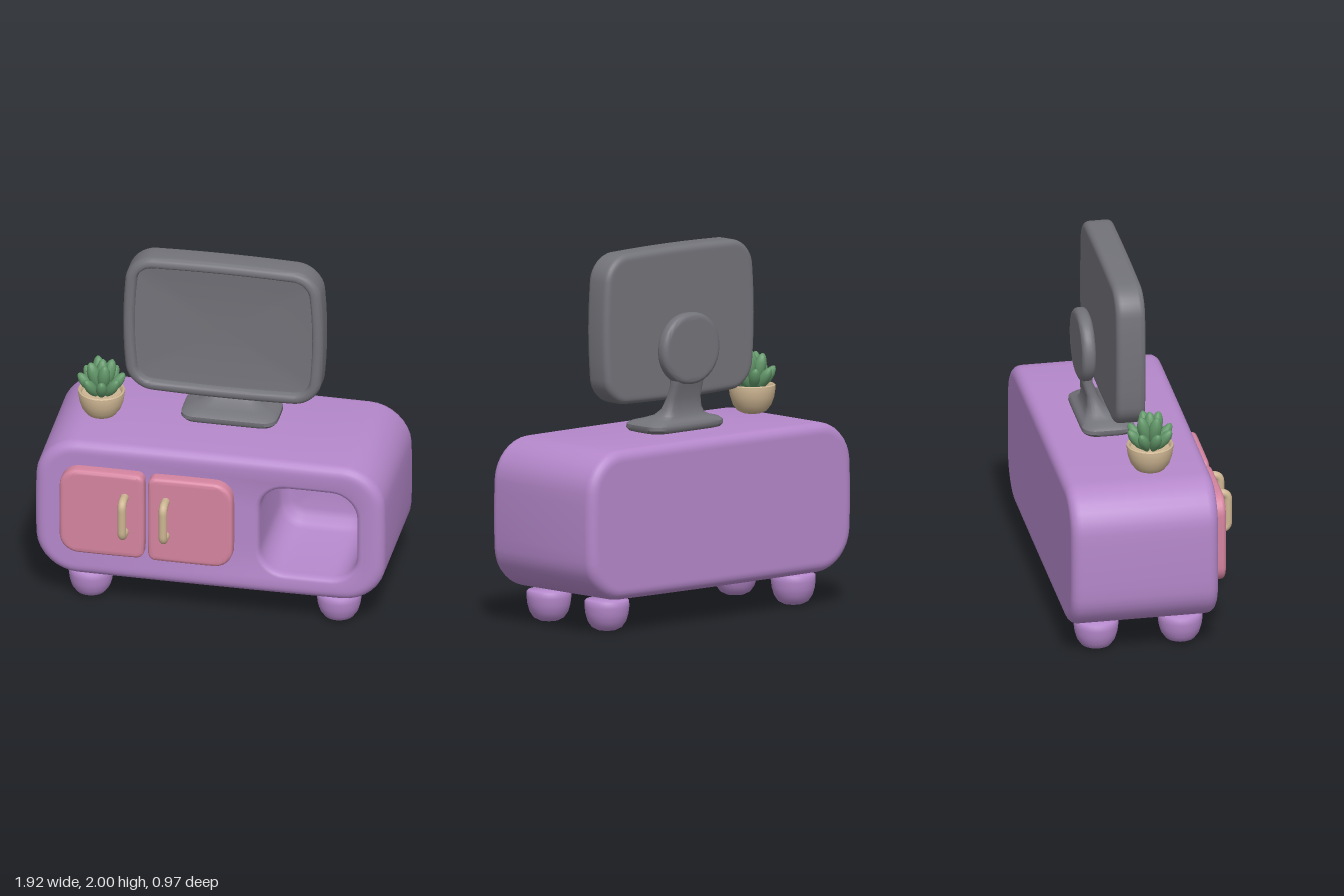
import * as THREE from 'three';
import { toCreasedNormals } from 'three/addons/utils/BufferGeometryUtils.js';

const mat = (name, color) => {
  const m = new THREE.MeshStandardMaterial({ color });
  m.name = name;
  return m;
};

// Rounded rectangle outline in XY: rr / rl are the corner radii on +x / -x, b bows the sides outward
function ring(cx, cy, hw, hh, rr, rl, b, z) {
  const corners = [[1, 1, rr], [-1, 1, rl], [-1, -1, rl], [1, -1, rr]];
  const arcs = corners.map(([sx, sy, r], c) => {
    r = Math.max(r, 0.004);
    return Array.from({ length: 9 }, (_, k) => {
      const a = (c + k / 8) * Math.PI / 2;
      return [sx * (hw - r) + r * Math.cos(a), sy * (hh - r) + r * Math.sin(a)];
    });
  });
  const pts = [];
  arcs.forEach((arc, c) => {
    pts.push(...arc);
    const p = arc[8], q = arcs[(c + 1) % 4][0];
    for (let k = 1; k < 6; k++) pts.push([p[0] + (q[0] - p[0]) * k / 6, p[1] + (q[1] - p[1]) * k / 6]);
  });
  return pts.map(([x, y]) => new THREE.Vector3(
    cx + x * (1 - b * (y / hh) ** 2), cy + y * (1 - 0.6 * b * (x / hw) ** 2), z));
}

// Skin a list of outlines, closing both ends
function loft(rings) {
  const n = rings[0].length, pos = [], idx = [];
  rings.forEach(r => r.forEach(p => pos.push(p.x, p.y, p.z)));
  for (let j = 0; j < rings.length - 1; j++) {
    for (let i = 0; i < n; i++) {
      const a = j * n + i, b = j * n + (i + 1) % n;
      idx.push(a, b, b + n, a, b + n, a + n);
    }
  }
  const cap = (j, flip) => {
    const c = rings[j].reduce((s, p) => s.add(p), new THREE.Vector3()).divideScalar(n);
    const ci = pos.length / 3;
    pos.push(c.x, c.y, c.z);
    for (let i = 0; i < n; i++) {
      const a = j * n + i, b = j * n + (i + 1) % n;
      if (flip) idx.push(ci, b, a); else idx.push(ci, a, b);
    }
  };
  cap(0, true);
  cap(rings.length - 1, false);
  const g = new THREE.BufferGeometry();
  g.setAttribute('position', new THREE.Float32BufferAttribute(pos, 3));
  g.setIndex(idx);
  return toCreasedNormals(g, 0.7);
}

// Outlines of a slab with rounded front and back edges
function slab({ cx, cy, hw, hh, rr, rl = rr, b = 0, z0, z1, bev }) {
  const at = (inset, z) => ring(cx, cy, hw - inset, hh - inset, rr - inset, rl - inset, b, z);
  const out = [at(bev + 0.012, z0)];
  for (let k = 0; k <= 5; k++) {
    const a = k * Math.PI / 10;
    out.push(at(bev * (1 - Math.sin(a)), z0 + bev * (1 - Math.cos(a))));
  }
  for (let k = 5; k >= 0; k--) {
    const a = k * Math.PI / 10;
    out.push(at(bev * (1 - Math.sin(a)), z1 - bev * (1 - Math.cos(a))));
  }
  out.push(at(bev + 0.012, z1));
  return out;
}

const lathe = (pts, seg = 32) =>
  toCreasedNormals(new THREE.LatheGeometry(pts.map(p => new THREE.Vector2(...p)), seg), 0.8);

export function createModel() {
  const model = new THREE.Group();
  model.name = 'tvCabinet';
  const purple = mat('purple', 0xb588cb);
  const pink = mat('pink', 0xd4849f);
  const grey = mat('grey', 0x73737a);
  const green = mat('leaf green', 0x629769);
  const beige = mat('beige', 0xcdb592);
  const add = (name, geo, material, parent = model) => {
    const m = new THREE.Mesh(geo, material);
    m.name = name;
    parent.add(m);
    return m;
  };

  // Cabinet body: the skin turns in at the front and lines the open niche
  const niche = (inset, z) => ring(0.54, 0.575, 0.27 - inset, 0.265 - inset, 0.14 - inset, 0.14 - inset, 0.02, z);
  add('cabinetBody', loft([
    ...slab({ cx: 0, cy: 0.59, hw: 0.96, hh: 0.41, rr: 0.22, b: 0.02, z0: -0.48, z1: 0.325, bev: 0.055 }),
    niche(-0.025, 0.325), niche(-0.01, 0.32), niche(0, 0.305), niche(0.002, 0.28),
    niche(0.01, -0.17), niche(0.025, -0.21), niche(0.06, -0.24), niche(0.1, -0.25),
  ]), purple);

  // Feet
  const footGeo = lathe([[0, 0], [0.05, 0.002], [0.082, 0.018], [0.104, 0.05], [0.116, 0.09],
    [0.121, 0.13], [0.12, 0.16], [0.112, 0.168], [0, 0.17]]);
  for (const x of [-0.68, 0.68]) {
    for (const z of [0.16, -0.3]) add('foot', footGeo, purple).position.set(x, 0, z);
  }

  // Doors, softer on their outer corners
  const door = { hw: 0.233, hh: 0.255, b: 0.015, z0: 0.29, z1: 0.39, bev: 0.022 };
  add('rightDoor', loft(slab({ ...door, cx: -0.578, cy: 0.612, rl: 0.1, rr: 0.04 })), pink);
  add('leftDoor', loft(slab({ ...door, cx: -0.094, cy: 0.608, rl: 0.04, rr: 0.1 })), pink);

  // Door handles
  const v = (y, z) => new THREE.Vector3(0, y, z);
  const path = new THREE.CurvePath();
  path.add(new THREE.LineCurve3(v(0.522, 0.375), v(0.522, 0.425)));
  path.add(new THREE.QuadraticBezierCurve3(v(0.522, 0.425), v(0.522, 0.465), v(0.562, 0.465)));
  path.add(new THREE.LineCurve3(v(0.562, 0.465), v(0.692, 0.465)));
  path.add(new THREE.QuadraticBezierCurve3(v(0.692, 0.465), v(0.732, 0.465), v(0.732, 0.425)));
  path.add(new THREE.LineCurve3(v(0.732, 0.425), v(0.732, 0.375)));
  const handleGeo = new THREE.TubeGeometry(path, 48, 0.023, 14);
  for (const x of [-0.45, -0.225]) add('doorHandle', handleGeo, beige).position.x = x;

  // Monitor with a recessed screen inside a rounded bezel
  const face = (inset, z) => ring(0.007, 1.585, 0.549 - inset, 0.415 - inset, 0.14 - inset, 0.14 - inset, 0.05, z);
  add('monitor', loft([
    ...slab({ cx: 0.007, cy: 1.585, hw: 0.549, hh: 0.415, rr: 0.14, b: 0.05, z0: -0.158, z1: 0.004, bev: 0.034 }),
    face(0.052, 0), face(0.058, -0.008), face(0.062, -0.035), face(0.075, -0.037),
  ]), grey);

  // Stand: foot plate flowing into the neck, sections are [y, half width, half depth, z]
  const sections = [[1.008, 0.235, 0.115, -0.135], [1.014, 0.254, 0.134, -0.135], [1.03, 0.265, 0.145, -0.135],
    [1.05, 0.264, 0.144, -0.135], [1.066, 0.245, 0.125, -0.14], [1.076, 0.2, 0.1, -0.15],
    [1.095, 0.155, 0.07, -0.17], [1.13, 0.128, 0.045, -0.188], [1.19, 0.112, 0.03, -0.205],
    [1.26, 0.108, 0.03, -0.228], [1.32, 0.112, 0.034, -0.238], [1.36, 0.112, 0.03, -0.238]];
  const stand = add('monitorStand', loft(sections.map(([y, hw, hd, z]) => {
    const r = Math.min(hd * 0.85, 0.07);
    return ring(0.033, -z, hw, hd, r, r, 0.02, y);
  })), grey);
  stand.rotation.x = -Math.PI / 2;
  add('standMount', loft(slab({ cx: 0.025, cy: 1.455, hw: 0.207, hh: 0.195, rr: 0.193,
    z0: -0.276, z1: -0.2, bev: 0.03 })), grey);

  // Potted succulent
  const plant = new THREE.Group();
  plant.name = 'pottedPlant';
  plant.position.set(-0.656, 1, 0);
  model.add(plant);
  add('pot', lathe([[0, 0.006], [0.05, 0.008], [0.08, 0.022], [0.105, 0.055], [0.12, 0.1], [0.127, 0.15],
    [0.126, 0.16], [0.119, 0.165], [0.111, 0.16], [0.105, 0.14], [0, 0.14]]), beige, plant);
  const leafGeo = lathe([[0, 0], [0.014, 0.006], [0.025, 0.035], [0.031, 0.075], [0.028, 0.11],
    [0.017, 0.138], [0.007, 0.149], [0, 0.152]], 14);
  // Leaf rows: count, tilt, base radius, base height, size, turn
  for (const [n, tilt, rad, y, s, turn] of [[8, 0.62, 0.038, 0.14, 0.97, 0.2], [4, 0.26, 0.02, 0.17, 1.12, 0.5],
    [1, 0.05, 0, 0.18, 1.1, 0]]) {
    for (let i = 0; i < n; i++) {
      const arm = new THREE.Group();
      arm.name = 'leafArm';
      arm.rotation.y = turn + i / n * Math.PI * 2;
      plant.add(arm);
      const leaf = add('leaf', leafGeo, green, arm);
      leaf.position.set(rad, y, 0);
      leaf.rotation.z = -tilt;
      leaf.scale.setScalar(s);
    }
  }
  return model;
}
